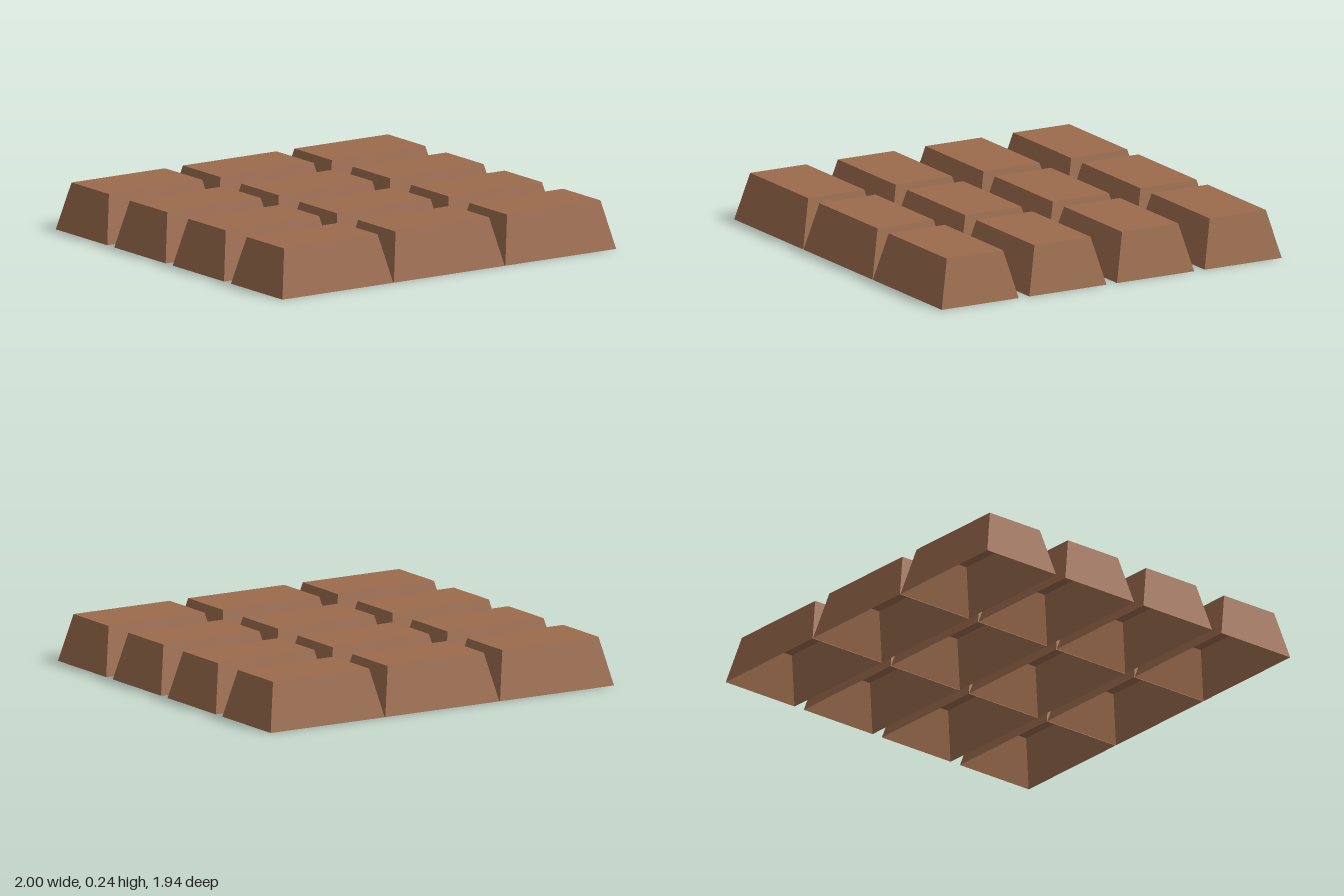
import * as THREE from 'three';

const HEIGHT = 0.24, WIDTH = 0.664, DEPTH = 0.44;
const TOP_WIDTH = 0.56, TOP_DEPTH = 0.32;

// Hollow tapered block: a box with a narrowed top and no underside
function moldedBlock() {
  const geo = new THREE.BoxGeometry(WIDTH, HEIGHT, DEPTH);
  geo.translate(0, HEIGHT / 2, 0);
  const pos = geo.attributes.position;
  for (let i = 0; i < pos.count; i++) {
    if (pos.getY(i) < HEIGHT / 2) continue;
    pos.setX(i, Math.sign(pos.getX(i)) * TOP_WIDTH / 2);
    pos.setZ(i, Math.sign(pos.getZ(i)) * TOP_DEPTH / 2);
  }
  // drop the bottom face (fourth group of the box)
  const index = Array.from(geo.index.array);
  index.splice(18, 6);
  geo.setIndex(index);
  geo.clearGroups();
  geo.computeVertexNormals();
  return geo;
}

export function createModel() {
  const bar = new THREE.Group();
  bar.name = 'chocolateBar';
  const chocolate = new THREE.MeshStandardMaterial({ color: 0x9b6b4c });
  chocolate.name = 'milk chocolate';
  chocolate.side = THREE.DoubleSide;
  const geo = moldedBlock();

  // Four rows of three pieces; pieces touch in x, rows are spaced in z
  for (let row = 0; row < 4; row++) {
    const rowGroup = new THREE.Group();
    rowGroup.name = `row${row + 1}`;
    rowGroup.position.z = (row - 1.5) * 0.5;
    for (let col = 0; col < 3; col++) {
      const piece = new THREE.Mesh(geo, chocolate);
      piece.name = `piece${col + 1}`;
      piece.position.x = (col - 1) * 0.668;
      rowGroup.add(piece);
    }
    bar.add(rowGroup);
  }
  return bar;
}
